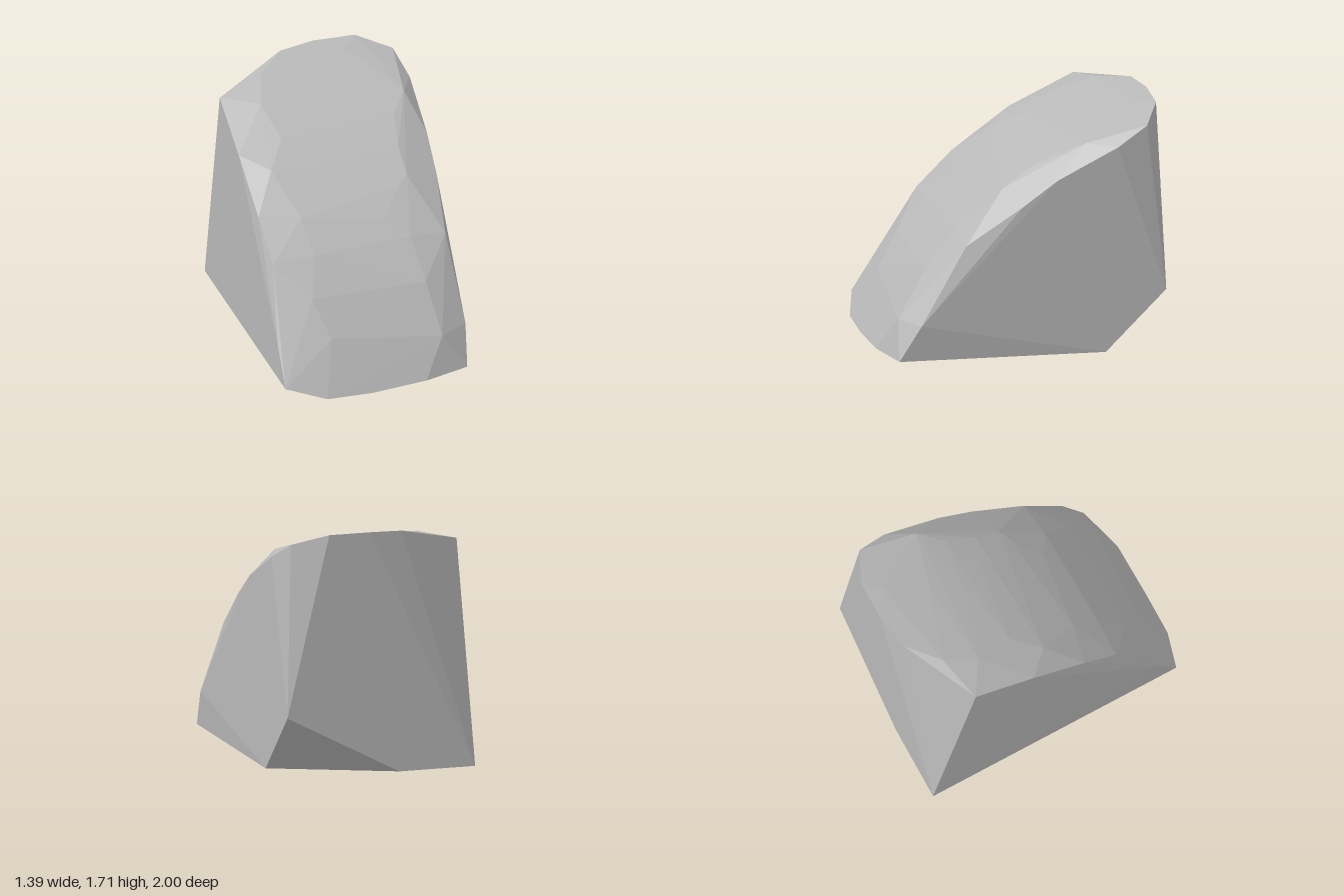
import * as THREE from 'three';
import { ConvexGeometry } from 'three/addons/geometries/ConvexGeometry.js';

// Height of the rounded front at depth z (arc of a large circle)
const arcY = (z) => Math.sqrt(8.06 - (z + 1.633) ** 2) - 1.0625;

export function createModel() {
  const group = new THREE.Group();
  const stone = new THREE.MeshStandardMaterial({ color: 0xb8b8b8 });
  stone.name = 'stone grey';

  // Chipped corners of the block: x, y, z
  const corners = [
    // back and underside
    [-0.7, 0, -1], [-0.14, 0, -1], [0.69, 0, -0.57], [0.69, 0.43, -1],
    // back top rim
    [0.38, 1.705, -1], [0.08, 1.705, -1], [-0.17, 1.69, -0.95],
    // left edge, top to bottom
    [0.62, 1.63, -0.88], [0.68, 1.51, -0.66], [0.68, 1.3, -0.23], [0.675, 1.12, 0.02],
    [0.63, 0.85, 0.41], [0.68, 0.3, 0.74], [0.65, 0.04, 0.89],
    // right edge, top to bottom
    [-0.69, 1.55, -0.66], [-0.685, 1.34, -0.2], [-0.66, 1.06, 0.21],
    [-0.63, 0.82, 0.47], [-0.675, 0.33, 0.75], [-0.67, 0.08, 0.92],
    // front toe
    [-0.39, 0, 1], [-0.07, 0, 1], [0.33, 0.03, 0.985],
  ];

  // Facet corners on the curved front: x, z
  const facets = [
    [-0.37, -0.75], [-0.44, -0.51], [-0.37, -0.23], [-0.5, -0.03], [-0.37, 0.27],
    [-0.33, 0.47], [-0.4, 0.66], [-0.31, 0.82], [0.28, -0.88], [0.58, -0.46],
    [0.46, -0.29], [0.43, -0.07], [0.44, 0.11], [0.37, 0.16], [0.37, 0.44],
    [0.42, 0.65], [0.48, 0.86], [0.16, -0.34], [0.2, -0.15], [0.2, 0.34], [0.18, -0.57],
  ];

  const points = [
    ...corners.map((p) => new THREE.Vector3(...p)),
    ...facets.map(([x, z]) => new THREE.Vector3(x, arcY(z), z)),
  ];
  const rock = new THREE.Mesh(new ConvexGeometry(points), stone);
  rock.name = 'rockChunk';
  group.add(rock);
  return group;
}
